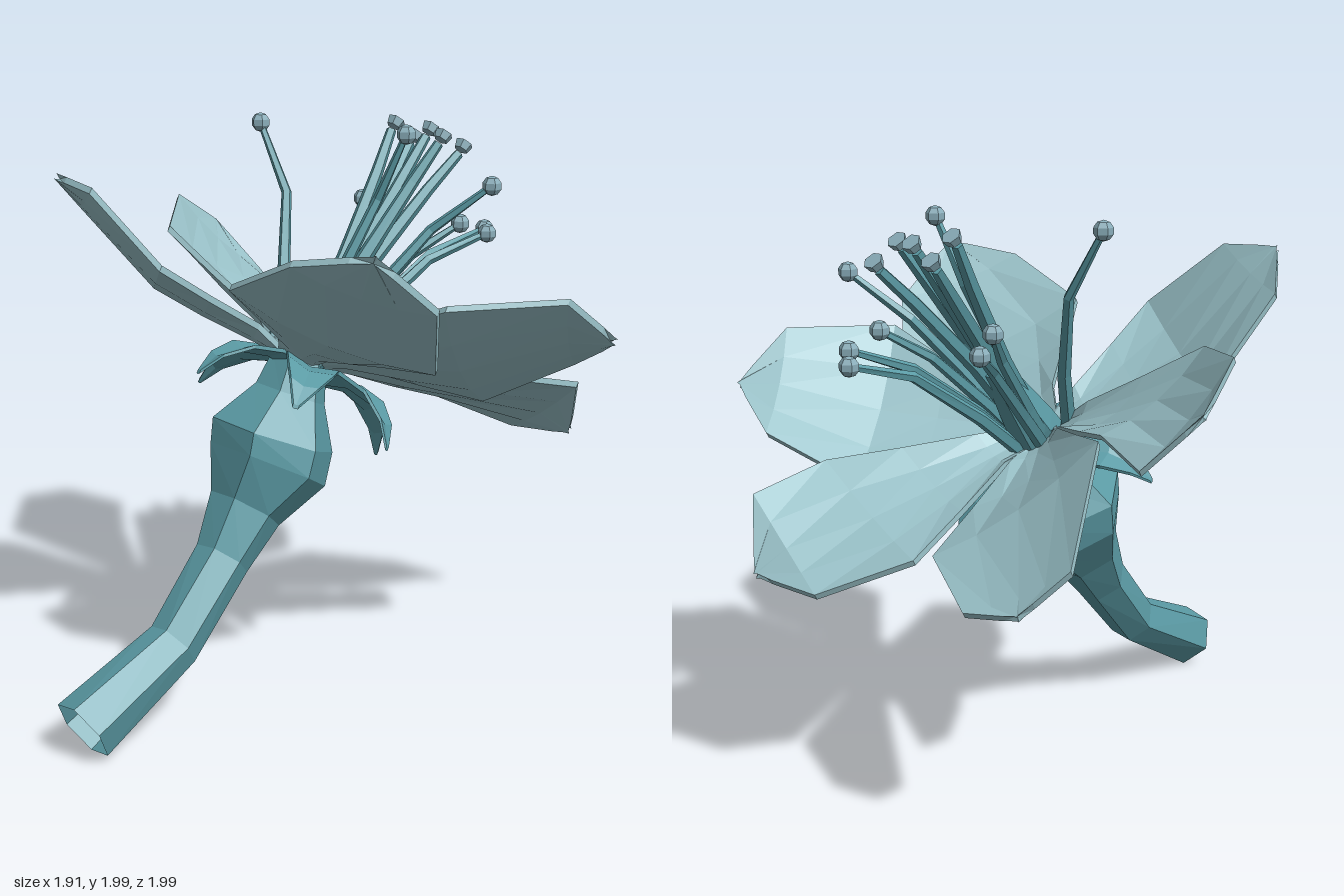
import * as THREE from 'three';

const V = (x, y, z) => new THREE.Vector3(x, y, z);
const axis = V(0.27, 0.857, -0.437).normalize();      // direction the blossom faces
const styleAxis = V(0.33, 0.76, -0.55).normalize();   // direction the stamens lean
const heart = V(-0.16, 1.19, 0.08);                   // where the petals meet

// Faceted copy of a geometry
function faceted(geo) {
  const g = geo.index ? geo.toNonIndexed() : geo;
  g.computeVertexNormals();
  return g;
}

// Skin over a row of equal-sized point loops, optionally open at the start
function skin(rings, openStart = false) {
  const pos = [];
  const tri = (...pts) => pts.forEach(p => pos.push(p.x, p.y, p.z));
  const n = rings[0].length;
  const centre = r => r.reduce((s, p) => s.add(p), V(0, 0, 0)).divideScalar(n);
  const first = rings[0], last = rings[rings.length - 1];
  const c0 = centre(first), c1 = centre(last);
  for (let j = 0; j < n; j++) {
    const k = (j + 1) % n;
    for (let i = 0; i < rings.length - 1; i++) {
      const a = rings[i], b = rings[i + 1];
      tri(a[j], a[k], b[j]);
      tri(a[k], b[k], b[j]);
    }
    if (!openStart) tri(c0, first[k], first[j]);
    tri(c1, last[j], last[k]);
  }
  const g = new THREE.BufferGeometry();
  g.setAttribute('position', new THREE.Float32BufferAttribute(pos, 3));
  return faceted(g);
}

// Tapering many-sided tube through points
function limb(points, radii, sides, openStart) {
  const rings = points.map((p, i) => {
    const t = points[Math.min(i + 1, points.length - 1)].clone()
      .sub(points[Math.max(i - 1, 0)]).normalize();
    const u = V(1, 0, 0).addScaledVector(t, -t.x).normalize();
    const v = t.clone().cross(u);
    return Array.from({ length: sides }, (_, j) => {
      const a = (j + 0.5) / sides * Math.PI * 2;
      return p.clone().addScaledVector(u, Math.cos(a) * radii[i])
        .addScaledVector(v, Math.sin(a) * radii[i]);
    });
  });
  return skin(rings, openStart);
}

// Thick leaf: each row of points runs from its left edge to its right edge
function leaf(rows, thickness) {
  return skin(rows.map(row => [
    ...row.slice().reverse(),
    ...row.map(p => p.clone().addScaledVector(axis, -thickness)),
  ]));
}

export function createModel() {
  const model = new THREE.Group();
  const stemMat = new THREE.MeshStandardMaterial({ color: 0x5b9ba5, side: THREE.DoubleSide });
  stemMat.name = 'stem teal';
  const petalMat = new THREE.MeshStandardMaterial({ color: 0x9ac2c9 });
  petalMat.name = 'petal pale blue';
  const antherMat = new THREE.MeshStandardMaterial({ color: 0x8aaeba });
  antherMat.name = 'anther grey blue';
  const add = (name, geo, mat, parent = model) => {
    const m = new THREE.Mesh(geo, mat);
    m.name = name;
    parent.add(m);
    return m;
  };
  const group = name => {
    const g = new THREE.Group();
    g.name = name;
    model.add(g);
    return g;
  };

  // Bent hollow stem swelling into the seed cup
  add('stem', limb([
    V(-0.64, 0.11, 0.935), V(-0.44, 0.3, 0.61), V(-0.335, 0.54, 0.39), V(-0.285, 0.69, 0.28),
    V(-0.225, 0.83, 0.195), V(-0.215, 0.93, 0.165), V(-0.165, 1.07, 0.115), V(-0.145, 1.19, 0.07),
  ], [0.118, 0.095, 0.1, 0.135, 0.22, 0.225, 0.13, 0.1], 6, true), stemMat);

  // Petals: left edge, left shoulder, tip, right shoulder, right edge
  const petals = group('petals');
  [
    [V(-0.2, 1.57, 0.62), V(0.06, 1.7, 0.81), V(0.33, 1.74, 0.86), V(0.48, 1.54, 0.66), V(0.43, 1.29, 0.44)],
    [V(0.45, 1.49, 0.4), V(0.82, 1.5, 0.24), V(0.96, 1.33, 0.06), V(0.8, 1.2, -0.13), V(0.48, 1.04, -0.14)],
    [V(0.58, 1.12, -0.16), V(0.78, 1.05, -0.37), V(0.74, 0.82, -0.53), V(0.5, 0.8, -0.64), V(0.18, 0.92, -0.59)],
    [V(0.11, 0.95, -0.62), V(-0.04, 0.87, -0.9), V(-0.22, 0.9, -0.985), V(-0.38, 1.05, -0.97), V(-0.42, 1.36, -0.63)],
    [V(-0.41, 1.33, -0.45), V(-0.56, 1.31, -0.77), V(-0.75, 1.5, -0.79), V(-0.825, 1.63, -0.58), V(-0.72, 1.58, -0.2)],
    [V(-0.73, 1.41, -0.12), V(-0.94, 1.71, 0.07), V(-0.94, 1.84, 0.28), V(-0.75, 1.82, 0.42), V(-0.48, 1.59, 0.5)],
  ].forEach(([left, leftShoulder, tip, rightShoulder, right]) => {
    const across = right.clone().sub(left).normalize().multiplyScalar(0.05);
    const part = (edge, u, lift) => heart.clone().lerp(edge, u).addScaledVector(axis, lift);
    const rows = [
      [heart.clone().sub(across), heart.clone().add(across), 0],
      [part(left, 0.3, 0.03), part(right, 0.3, 0.03), 0.04],
      [part(left, 0.65, 0.012), part(right, 0.65, 0.012), 0.045],
      [left, right, 0.045],
      [leftShoulder, rightShoulder, 0.025],
      [tip.clone().lerp(leftShoulder, 0.3), tip.clone().lerp(rightShoulder, 0.3), 0],
    ].map(([a, b, sag], i) => [0, 0.25, 0.5, 0.75, 1].map(s => {
      const p = a.clone().lerp(b, s).addScaledVector(axis, -sag * 4 * s * (1 - s));
      return i === 5 ? p.lerp(tip, 4 * s * (1 - s)) : p;
    }));
    add('petal', leaf(rows, 0.022), petalMat, petals);
  });

  // Drooping sepals under the petals
  const sepals = group('sepals');
  const e1 = V(0.63, -0.5, -0.595).normalize();
  const e2 = axis.clone().cross(e1).normalize();
  const collar = V(-0.125, 1.13, 0.04);
  for (let i = 0; i < 6; i++) {
    const a = i * Math.PI / 3;
    const out = e1.clone().multiplyScalar(Math.cos(a)).addScaledVector(e2, Math.sin(a));
    const side = axis.clone().cross(out);
    const rows = [[0.06, 0, 0.055], [0.17, 0.03, 0.095], [0.28, 0, 0.085], [0.36, -0.07, 0.05], [0.4, -0.15, 0.01]]
      .map(([r, h, w]) => [-1, 0, 1].map(s => collar.clone().addScaledVector(out, r)
        .addScaledVector(axis, h - (s === 0 ? 0.25 * w : 0)).addScaledVector(side, s * w)));
    add('sepal', leaf(rows, 0.014), stemMat, sepals);
  }

  // Cone at the heart from which the styles rise
  const root = V(-0.16, 1.15, 0.06);
  const along = h => root.clone().addScaledVector(styleAxis, h);
  add('heartCone', limb([along(0), along(0.12), along(0.42)], [0.1, 0.09, 0.045], 6), stemMat);

  // Filament bending outward from the heart to its tip
  const bend = (tip, steps) => {
    const d = tip.clone().sub(root);
    const h = d.dot(styleAxis);
    const spread = d.clone().addScaledVector(styleAxis, -h);
    return steps.map(([k, s]) => along(h * k).addScaledVector(spread, s));
  };

  // Stamens with round anthers
  const stamens = group('stamens');
  [
    V(-0.39, 1.96, -0.28), V(0.2, 1.965, -0.065), V(0.48, 1.785, -0.17), V(-0.07, 1.66, -0.51),
    V(-0.05, 1.615, -0.635), V(0.38, 1.555, -0.58), V(0.42, 1.57, -0.42), V(0.34, 1.62, -0.32),
  ].forEach(tip => {
    const path = bend(tip, [[0, 0.18], [0.35, 0.35], [0.75, 0.62], [1, 1]]);
    add('filament', limb(path, [0.028, 0.025, 0.019, 0.012], 5), stemMat, stamens);
    const anther = add('anther', faceted(new THREE.SphereGeometry(0.035, 6, 5)), antherMat, stamens);
    anther.position.copy(tip);
  });

  // Five styles ending in flat stigmas
  const styles = group('styles');
  [
    V(0.065, 1.95, -0.46), V(0.11, 1.89, -0.57), V(0.19, 1.93, -0.48),
    V(0.26, 1.92, -0.37), V(0.31, 1.87, -0.49),
  ].forEach(tip => {
    const path = bend(tip, [[0, 0.1], [0.45, 0.35], [0.8, 0.75], [0.97, 1]]);
    add('style', limb(path, [0.034, 0.03, 0.024, 0.019], 5), stemMat, styles);
    const stigma = add('stigma', faceted(new THREE.CylinderGeometry(0.034, 0.026, 0.03, 6)), antherMat, styles);
    stigma.position.copy(tip);
    stigma.quaternion.setFromUnitVectors(V(0, 1, 0), styleAxis);
  });

  return model;
}
